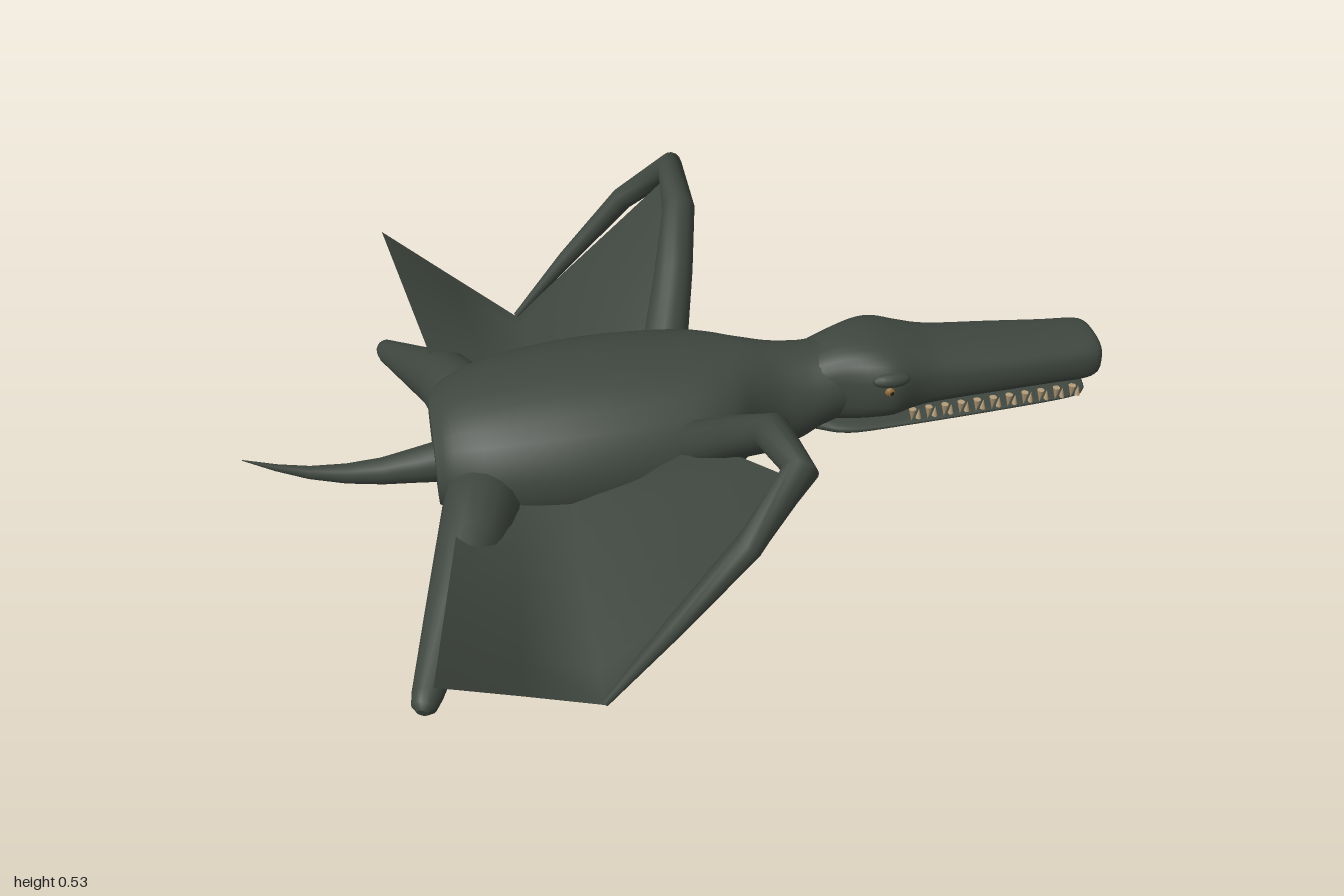
import * as THREE from 'three';

const V = (x, y, z) => new THREE.Vector3(x, y, z);

// Closed skin over a series of rings (arrays of Vector3), with flat caps
function skin(rings) {
  const n = rings[0].length, pos = [], idx = [];
  const push = (p) => pos.push(p.x, p.y, p.z) / 3 - 1;
  rings.forEach((r) => r.forEach(push));
  for (let i = 0; i < rings.length - 1; i++) {
    for (let j = 0; j < n; j++) {
      const a = i * n + j, b = i * n + (j + 1) % n;
      idx.push(a, b, a + n, b, b + n, a + n);
    }
  }
  [rings[0], rings[rings.length - 1]].forEach((r, end) => {
    const c = push(r.reduce((s, p) => s.add(p), V(0, 0, 0)).divideScalar(n));
    const first = c + 1;
    r.forEach(push);
    for (let j = 0; j < n; j++) {
      const a = first + j, b = first + (j + 1) % n;
      if (end) idx.push(c, a, b); else idx.push(c, b, a);
    }
  });
  const g = new THREE.BufferGeometry();
  g.setAttribute('position', new THREE.Float32BufferAttribute(pos, 3));
  g.setIndex(idx);
  g.computeVertexNormals();
  return g;
}

// Smooth loft along x from sections [x, bottom, top, halfWidth]; power < 1 squares the section
function loft(sections, power = 1, sides = 28, sub = 4) {
  const path = new THREE.CatmullRomCurve3(sections.map((s) => V(s[0], s[1], s[2])), false, 'catmullrom');
  const wide = new THREE.CatmullRomCurve3(sections.map((s) => V(s[3], 0, 0)), false, 'catmullrom');
  const steps = (sections.length - 1) * sub, rings = [];
  const bend = (v) => Math.sign(v) * Math.abs(v) ** power;
  for (let i = 0; i <= steps; i++) {
    const p = path.getPoint(i / steps), w = wide.getPoint(i / steps).x;
    rings.push(Array.from({ length: sides }, (_, j) => {
      const a = j / sides * Math.PI * 2;
      return V(p.x, (p.y + p.z) / 2 + bend(Math.cos(a)) * (p.z - p.y) / 2, bend(Math.sin(a)) * w);
    }));
  }
  return skin(rings);
}

// Limb through points [x, y, z, radius]
function limb(points, sides = 16) {
  const c = points.map((p) => V(p[0], p[1], p[2]));
  return skin(c.map((p, i) => {
    const t = V(0, 0, 0);
    if (i > 0) t.add(p.clone().sub(c[i - 1]).normalize());
    if (i < c.length - 1) t.add(c[i + 1].clone().sub(p).normalize());
    t.normalize();
    const n = V(1, 0.2, 0).cross(t).normalize(), b = t.clone().cross(n);
    return Array.from({ length: sides }, (_, j) => {
      const a = j / sides * Math.PI * 2;
      return p.clone().addScaledVector(n, Math.cos(a) * points[i][3]).addScaledVector(b, Math.sin(a) * points[i][3]);
    });
  }));
}

// Wing web: straight ribs from the flank out to the free edge
function web(inner, outer, cols = 6) {
  const pos = [], idx = [], w = cols + 1;
  inner.forEach((a, i) => {
    for (let j = 0; j <= cols; j++) pos.push(...V(...a).lerp(V(...outer[i]), j / cols).toArray());
  });
  for (let i = 0; i < inner.length - 1; i++) {
    for (let j = 0; j < cols; j++) {
      const a = i * w + j;
      idx.push(a, a + w, a + 1, a + 1, a + w, a + w + 1);
    }
  }
  const g = new THREE.BufferGeometry();
  g.setAttribute('position', new THREE.Float32BufferAttribute(pos, 3));
  g.setIndex(idx);
  g.computeVertexNormals();
  return g;
}

export function createModel() {
  const model = new THREE.Group();
  const mat = (name, color, side = THREE.FrontSide) => {
    const m = new THREE.MeshStandardMaterial({ color, side });
    m.name = name;
    return m;
  };
  const hide = mat('dark green hide', 0x3f463f, THREE.DoubleSide);
  const ivory = mat('aged ivory', 0xb49c78);
  const amber = mat('amber eye', 0x8f6a35);
  const black = mat('black pupil', 0x15130f);
  const add = (name, geo, material = hide) => {
    const m = new THREE.Mesh(geo, material);
    m.name = name;
    model.add(m);
    return m;
  };

  // Torso and neck
  add('body', loft([
    [-0.58, 0.07, 0.29, 0.15], [-0.54, 0.045, 0.322, 0.182], [-0.45, 0.02, 0.352, 0.222],
    [-0.3, 0.003, 0.374, 0.246], [-0.15, 0.008, 0.381, 0.247], [0, 0.03, 0.377, 0.228],
    [0.08, 0.055, 0.372, 0.19], [0.14, 0.09, 0.367, 0.135], [0.2, 0.102, 0.356, 0.108],
    [0.26, 0.108, 0.348, 0.105], [0.31, 0.14, 0.346, 0.104], [0.38, 0.17, 0.355, 0.1],
  ]));

  // Skull and long snout
  add('head', loft([
    [0.3, 0.17, 0.34, 0.085], [0.36, 0.165, 0.36, 0.102], [0.42, 0.172, 0.367, 0.128],
    [0.47, 0.18, 0.363, 0.138], [0.53, 0.187, 0.35, 0.118], [0.6, 0.192, 0.335, 0.108],
    [0.75, 0.198, 0.322, 0.102], [0.88, 0.198, 0.314, 0.092], [0.95, 0.197, 0.312, 0.086],
    [0.985, 0.205, 0.306, 0.076], [1.0, 0.225, 0.285, 0.05],
  ], 0.75));
  add('lowerJaw', loft([
    [0.3, 0.145, 0.185, 0.07], [0.37, 0.143, 0.178, 0.098], [0.5, 0.15, 0.173, 0.1],
    [0.75, 0.157, 0.178, 0.092], [0.92, 0.161, 0.182, 0.08], [0.96, 0.165, 0.182, 0.06], [0.97, 0.17, 0.18, 0.03],
  ], 0.8));

  // Tail
  add('tail', limb([
    [-0.54, 0.145, 0, 0.052], [-0.62, 0.14, 0, 0.041], [-0.7, 0.135, 0, 0.031], [-0.78, 0.14, 0, 0.023],
    [-0.86, 0.155, 0, 0.015], [-0.93, 0.179, 0, 0.008], [-1, 0.21, 0, 0.001],
  ]));

  for (const s of [1, -1]) {
    const side = s > 0 ? 'near' : 'far';
    const m = (pts) => pts.map((p) => [p[0], p[1], p[2] * s, ...p.slice(3)]);

    // Folded wing arm
    add(side + 'WingArm', limb(m([
      [-0.03, 0.23, 0.15, 0.05], [0, 0.27, 0.22, 0.053], [0.045, 0.375, 0.35, 0.046], [0.083, 0.472, 0.48, 0.04],
      [0.095, 0.499, 0.65, 0.036], [-0.02, 0.385, 0.715, 0.029], [-0.17, 0.215, 0.73, 0.021], [-0.31, 0.05, 0.739, 0.008],
    ])));

    // Wing membrane
    add(side + 'WingMembrane', web(
      m([[0, 0.26, 0.2], [-0.15, 0.21, 0.22], [-0.3, 0.17, 0.22], [-0.42, 0.17, 0.21], [-0.53, 0.18, 0.17]]),
      m([[0.085, 0.475, 0.64], [-0.113, 0.26, 0.69], [-0.31, 0.045, 0.74], [-0.475, 0.16, 0.8], [-0.64, 0.275, 0.862]]),
    ));

    // Hind leg
    add(side + 'Leg', limb(m([
      [-0.47, 0.15, 0.1, 0.085], [-0.495, 0.16, 0.22, 0.085], [-0.525, 0.15, 0.31, 0.075], [-0.585, 0.1, 0.46, 0.055],
      [-0.655, 0.04, 0.64, 0.032], [-0.664, 0.034, 0.665, 0.026], [-0.668, 0.03, 0.675, 0.012],
    ])));

    // Brow and eye
    const brow = add(side + 'Brow', new THREE.SphereGeometry(1, 16, 10));
    brow.scale.set(0.045, 0.018, 0.02);
    brow.position.set(0.455, 0.31, 0.122 * s);
    const eye = add(side + 'Eye', new THREE.SphereGeometry(0.013, 14, 10), amber);
    eye.position.set(0.45, 0.285, 0.129 * s);
    const pupil = add(side + 'Pupil', new THREE.SphereGeometry(0.005, 10, 8), black);
    pupil.position.set(0.452, 0.285, 0.139 * s);

    // Interlocking teeth
    for (let i = 0; i < 11; i++) {
      const x = 0.52 + i * 0.04, z = (0.1 - i * 0.0018) * s;
      const upper = add(side + 'UpperTooth', new THREE.ConeGeometry(0.009, 0.034, 8), ivory);
      upper.rotation.x = Math.PI;
      upper.position.set(x, 0.188, z);
      const lower = add(side + 'LowerTooth', new THREE.ConeGeometry(0.007, 0.026, 8), ivory);
      lower.position.set(x + 0.019, 0.185, z * 0.92);
    }
  }
  return model;
}
